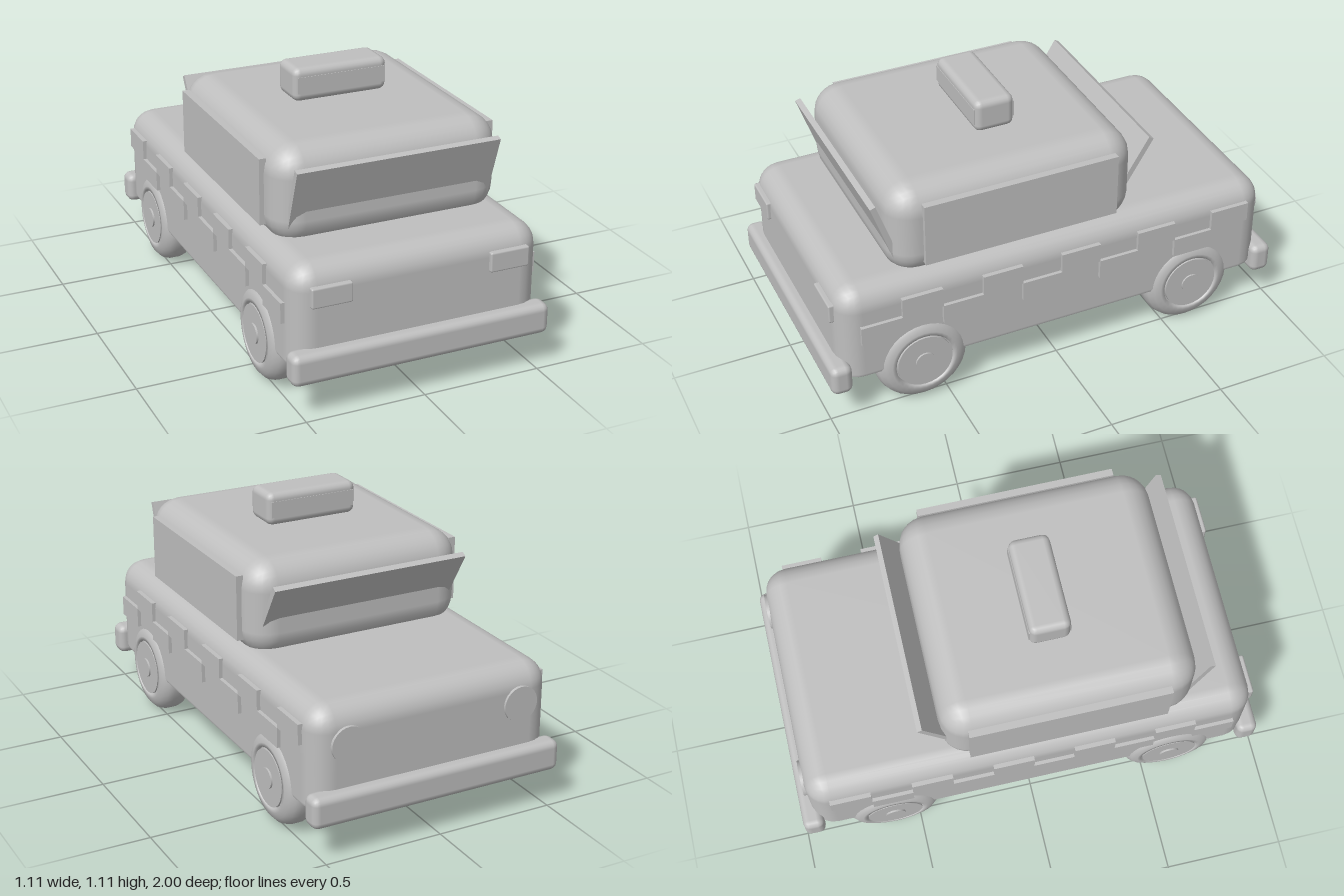
import * as THREE from 'three';
import { RoundedBoxGeometry } from 'three/addons/geometries/RoundedBoxGeometry.js';

export function createModel() {
  const car = new THREE.Group();
  car.name = 'taxi';
  const grey = new THREE.MeshStandardMaterial({ color: 0xbfbfbf });
  grey.name = 'plain grey';

  const add = (name, geometry, x, y, z, parent = car) => {
    const mesh = new THREE.Mesh(geometry, grey);
    mesh.name = name;
    mesh.position.set(x, y, z);
    parent.add(mesh);
    return mesh;
  };
  const rounded = (w, h, d, r, segments = 3) => new RoundedBoxGeometry(w, h, d, segments, r);

  // Lower body: generous upper rounding, flattened underside rounding
  const bodyGeo = rounded(1.06, 0.445, 1.9, 0.1);
  const pos = bodyGeo.attributes.position;
  const bottom = -0.2225;
  for (let i = 0; i < pos.count; i++) {
    const y = pos.getY(i);
    if (y < 0) pos.setY(i, y < bottom + 0.1 ? bottom + (y - bottom) * 0.45 : y);
  }
  add('body', bodyGeo, 0, 0.3825, 0);

  // Cabin, sunk into the body
  add('cabin', rounded(0.968, 0.41, 1.06, 0.12), 0, 0.76, 0.17);

  // Glass panels
  const windshield = add('windshield', new THREE.BoxGeometry(0.86, 0.27, 0.024), 0, 0.78, 0.709);
  windshield.rotation.x = 0.33;
  const rearWindow = add('rearWindow', new THREE.BoxGeometry(0.86, 0.27, 0.024), 0, 0.785, -0.373);
  rearWindow.rotation.x = -0.55;

  // Roof sign with a face plate on both sides
  add('roofSign', rounded(0.41, 0.14, 0.17, 0.03, 2), 0, 1.035, 0.14);
  for (const s of [1, -1]) {
    add('signPlate', new THREE.BoxGeometry(0.38, 0.068, 0.005), 0, 1.036, 0.14 + s * 0.0845);
  }

  // Bumpers
  add('frontBumper', rounded(1.1, 0.13, 0.09, 0.03, 2), 0, 0.21, 0.953);
  add('rearBumper', rounded(1.1, 0.13, 0.09, 0.03, 2), 0, 0.21, -0.953);

  // Tyre cross-section: radius, distance along the axle
  const tyreProfile = [
    [0.1, -0.07], [0.14, -0.074], [0.165, -0.064], [0.186, -0.045], [0.195, -0.02],
    [0.195, 0.02], [0.186, 0.045], [0.165, 0.064], [0.14, 0.072], [0.124, 0.072], [0.124, 0.05],
  ].map(([r, a]) => new THREE.Vector2(r, a));
  const tyreGeo = new THREE.LatheGeometry(tyreProfile, 32);
  const rimGeo = new THREE.CylinderGeometry(0.117, 0.117, 0.145, 32);
  const hubGeo = new THREE.CylinderGeometry(0.042, 0.042, 0.02, 24);
  const lampGeo = new THREE.CylinderGeometry(0.074, 0.074, 0.03, 28);
  const backGeo = new THREE.CylinderGeometry(0.13, 0.13, 0.1, 32);

  for (const s of [1, -1]) {
    const side = s > 0 ? 'left' : 'right';

    // Wheels, with the outer face pointing away from the body
    for (const z of [0.605, -0.605]) {
      const wheel = new THREE.Group();
      wheel.name = side + (z > 0 ? 'FrontWheel' : 'RearWheel');
      wheel.position.set(s * 0.473, 0.195, z);
      wheel.rotation.z = -s * Math.PI / 2;
      add('tyre', tyreGeo, 0, 0, 0, wheel);
      add('rimBack', backGeo, 0, 0.002, 0, wheel);
      add('rim', rimGeo, 0, 0, 0, wheel);
      add('hub', hubGeo, 0, 0.07, 0, wheel);
      car.add(wheel);
    }

    add(side + 'SideWindow', new THREE.BoxGeometry(0.03, 0.272, 0.83), s * 0.488, 0.769, 0.157);
    add(side + 'Headlight', rounded(0.17, 0.084, 0.03, 0.008, 1), s * 0.376, 0.487, 0.951);
    const lamp = add(side + 'TailLight', lampGeo, s * 0.38, 0.453, -0.945);
    lamp.rotation.x = Math.PI / 2;

    // Two-row chequered band, alternating low and high
    const step = 0.1725;
    for (let i = 0; i < 10; i++) {
      const y = i % 2 ? 0.487 : 0.402;
      add(side + 'Check', new THREE.BoxGeometry(0.03, 0.085, step), s * 0.53, y, 0.865 - step * (i + 0.5));
    }
  }
  return car;
}
